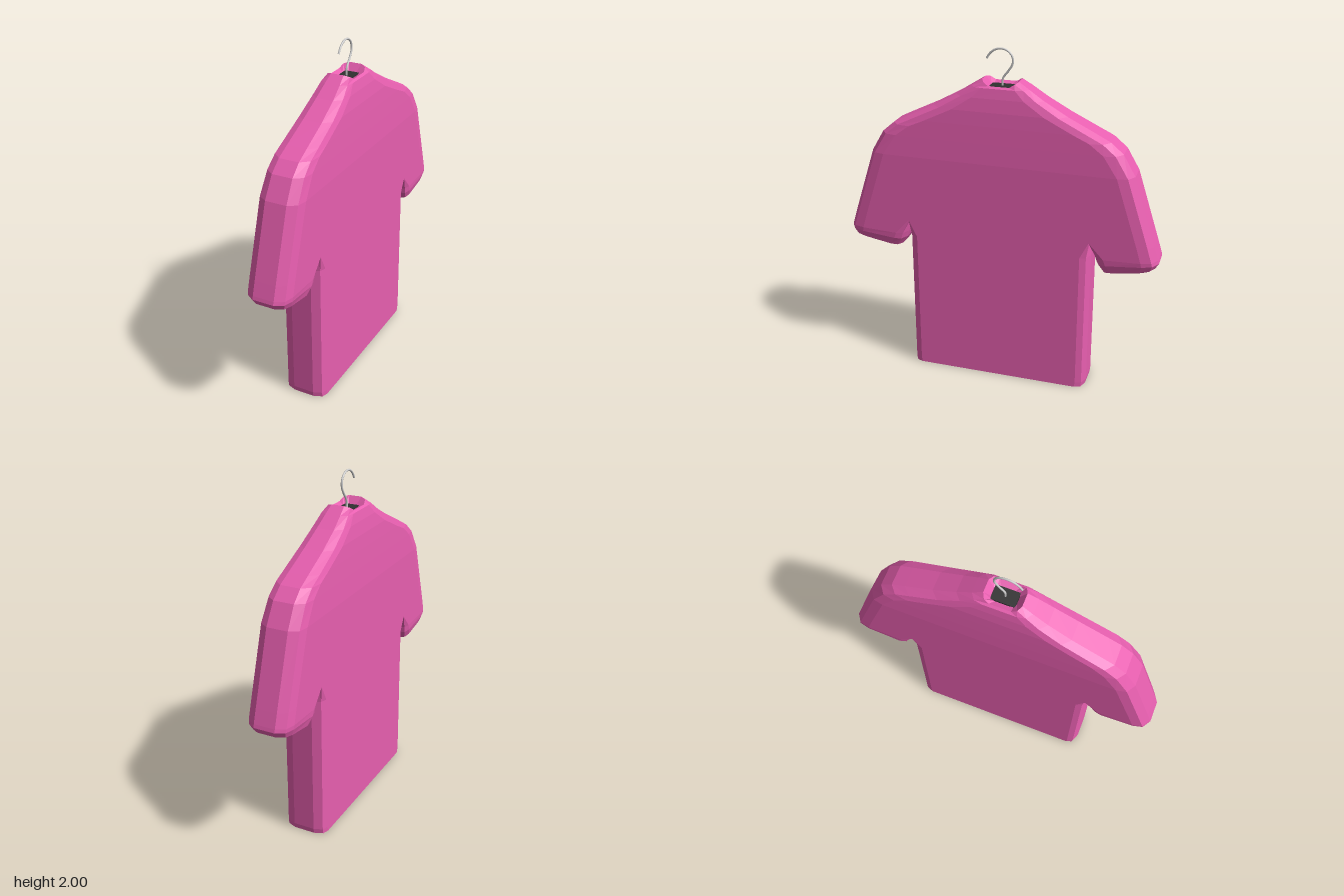
import * as THREE from 'three';

const pink = new THREE.MeshStandardMaterial({ color: 0xe85fb0, flatShading: true, side: THREE.DoubleSide });
const dark = new THREE.MeshStandardMaterial({ color: 0x303030 });
const metal = new THREE.MeshStandardMaterial({ color: 0xcccccc });

// One flattened cross-section with softened ends.
// a, b: [z, y, bevel] of the +z and -z ends; t: half thickness; dip lowers the broad sides
function section(a, b, t, dip = 0) {
  const points = [];
  const profile = [[1, 1], [0.9, 0.35], [0.5, 0], [-0.5, 0], [-0.9, 0.35], [-1, 1]];
  const add = (end, side, flip) => {
    for (const [px, inset] of profile) {
      const z = end[0] - side * inset * end[2];
      const y = THREE.MathUtils.mapLinear(z, b[0], a[0], b[1], a[1]);
      points.push(new THREE.Vector3(flip * px * t, y - dip * inset, z));
    }
  };
  add(a, 1, 1);
  add(b, -1, -1);
  return points;
}

// Symmetric level section
const level = (y, e, t, bevel, dip) => section([e, y, bevel], [-e, y, bevel], t, dip);

// Skin over sections ordered from bottom to top
function loft(name, rings, capBottom = false) {
  const n = rings[0].length;
  const points = rings.flat();
  const index = [];
  for (let r = 0; r < rings.length - 1; r++) {
    for (let i = 0; i < n; i++) {
      const a = r * n + i, b = r * n + (i + 1) % n;
      index.push(a, a + n, b, b, a + n, b + n);
    }
  }
  if (capBottom) {
    const centre = rings[0].reduce((s, p) => s.add(p), new THREE.Vector3()).divideScalar(n);
    points.push(centre);
    for (let i = 0; i < n; i++) index.push(points.length - 1, i, (i + 1) % n);
  }
  const geometry = new THREE.BufferGeometry().setFromPoints(points);
  geometry.setIndex(index);
  geometry.computeVertexNormals();
  const mesh = new THREE.Mesh(geometry, pink);
  mesh.name = name;
  return mesh;
}

export function createModel() {
  const model = new THREE.Group();
  model.name = 'shirtOnHanger';

  // Lower body, open at the hem; its top squares off to meet the sleeves
  model.add(loft('body', [
    level(0, 0.54, 0.125, 0.055),
    level(0.03, 0.545, 0.125, 0.055),
    level(0.86, 0.545, 0.125, 0.055),
    level(0.96, 0.54, 0.125, 0),
  ]));

  // Chest, shoulders and the collar turning inwards
  model.add(loft('shoulders', [
    level(0.96, 0.90, 0.125, 0.09),
    level(1.36, 0.77, 0.125, 0.09),
    level(1.48, 0.70, 0.12, 0.1),
    level(1.54, 0.63, 0.117, 0.11),
    level(1.58, 0.55, 0.115, 0.12),
    level(1.66, 0.385, 0.11, 0.12),
    level(1.735, 0.25, 0.1, 0.1),
    level(1.79, 0.165, 0.088, 0.07),
    level(1.828, 0.105, 0.075, 0.045, 0.028),
    level(1.785, 0.07, 0.045, 0.03),
  ]));

  // Sleeves with closed, rounded cuffs
  for (const [name, turn] of [['leftSleeve', 0], ['rightSleeve', Math.PI]]) {
    const sleeve = loft(name, [
      section([0.86, 0.795, 0.06], [0.65, 0.765, 0.05], 0.075),
      section([0.91, 0.825, 0.08], [0.61, 0.775, 0.06], 0.108),
      section([0.93, 0.86, 0.09], [0.578, 0.825, 0.06], 0.122),
      section([0.925, 0.88, 0.09], [0.565, 0.865, 0.06], 0.125),
      section([0.90, 0.96, 0.09], [0.54, 0.96, 0], 0.125),
    ], true);
    sleeve.rotation.y = turn;
    model.add(sleeve);
  }

  // Dark insert closing the neck
  const insert = new THREE.Mesh(new THREE.BoxGeometry(0.085, 0.02, 0.135), dark);
  insert.name = 'neckInsert';
  insert.position.y = 1.78;
  model.add(insert);

  // Hanger hook
  const path = new THREE.CatmullRomCurve3([
    [1.78, 0], [1.83, -0.003], [1.875, -0.035], [1.915, -0.058], [1.955, -0.055],
    [1.985, -0.027], [1.994, 0.01], [1.985, 0.045], [1.962, 0.073], [1.935, 0.09],
  ].map(([y, z]) => new THREE.Vector3(0, y, z)));
  const hook = new THREE.Mesh(new THREE.TubeGeometry(path, 40, 0.006, 8), metal);
  hook.name = 'hook';
  model.add(hook);

  return model;
}
